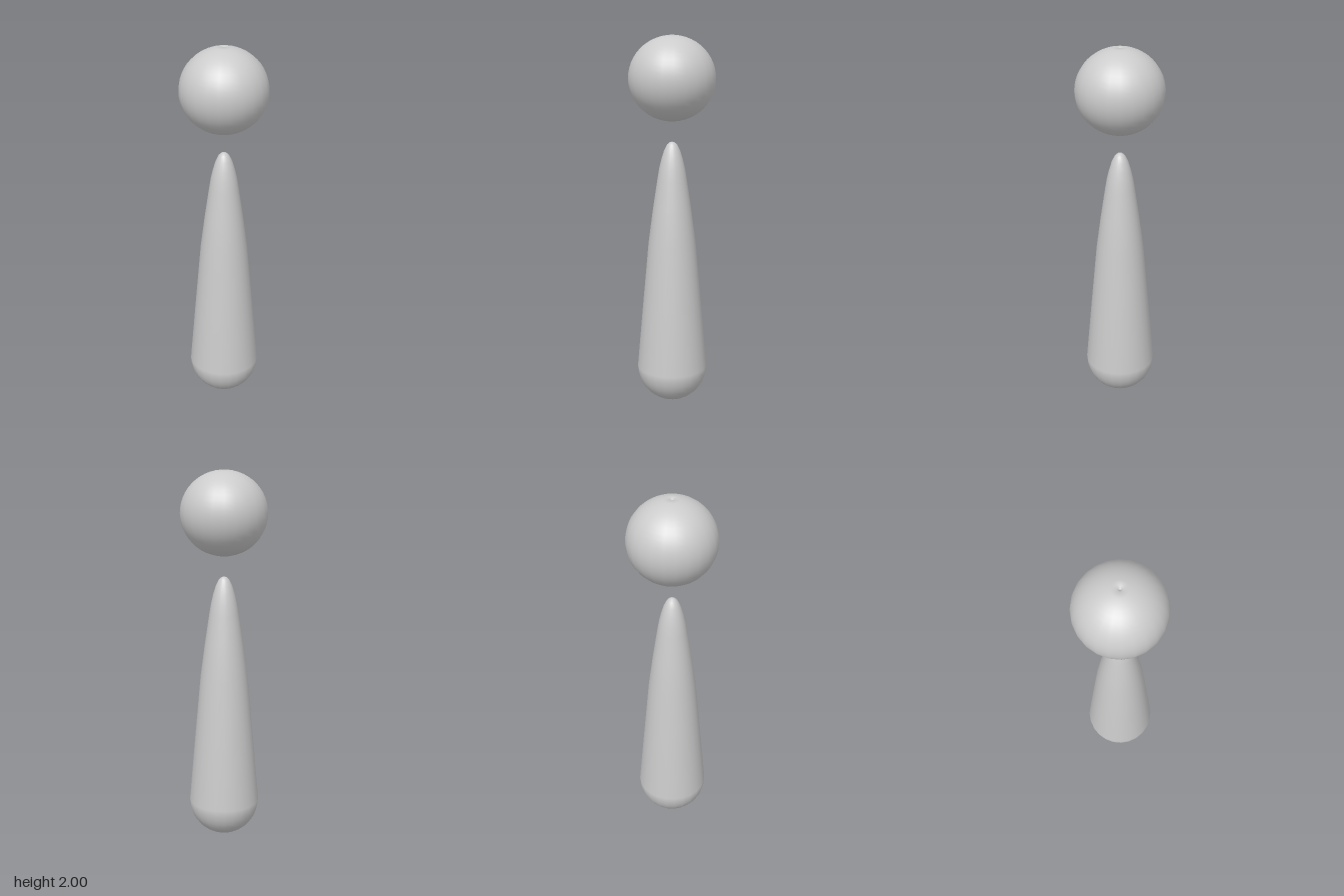
import * as THREE from 'three';

const SIDES = 24;

// Smooth solid of revolution from [radius, height] pairs, bottom to top
function turned(name, profile) {
  const points = profile.map(([r, y]) => new THREE.Vector2(r, y));
  const mesh = new THREE.Mesh(
    new THREE.LatheGeometry(points, SIDES),
    new THREE.MeshStandardMaterial({ color: 0xcccccc, side: THREE.DoubleSide })
  );
  mesh.name = name;
  return mesh;
}

export function createModel() {
  const group = new THREE.Group();
  group.name = 'pinWithBall';

  // Tapered body: round base, long straight taper, rounded tip
  const body = [];
  for (let i = 0; i <= 10; i++) {
    const a = (i / 10) * Math.PI / 2;
    body.push([0.191 * Math.sin(a), 0.2 - 0.195 * Math.cos(a)]);
  }
  body.push([0.16, 0.55], [0.127, 0.91], [0.103, 1.09], [0.079, 1.25],
    [0.069, 1.31], [0.057, 1.36], [0.043, 1.405], [0.027, 1.437], [0.013, 1.449], [0, 1.452]);
  group.add(turned('body', body));

  // Floating ball, slightly flattened, with a tiny dimple at each pole
  const ball = [[0, 1.575]];
  const hole = 0.015, steps = 24;
  const start = Math.asin(hole / 0.228);
  for (let i = 0; i <= steps; i++) {
    const a = start + (i / steps) * (Math.PI - 2 * start);
    ball.push([0.228 * Math.sin(a), 1.78 - 0.2205 * Math.cos(a)]);
  }
  ball.push([0, 1.985]);
  group.add(turned('ball', ball));

  return group;
}
